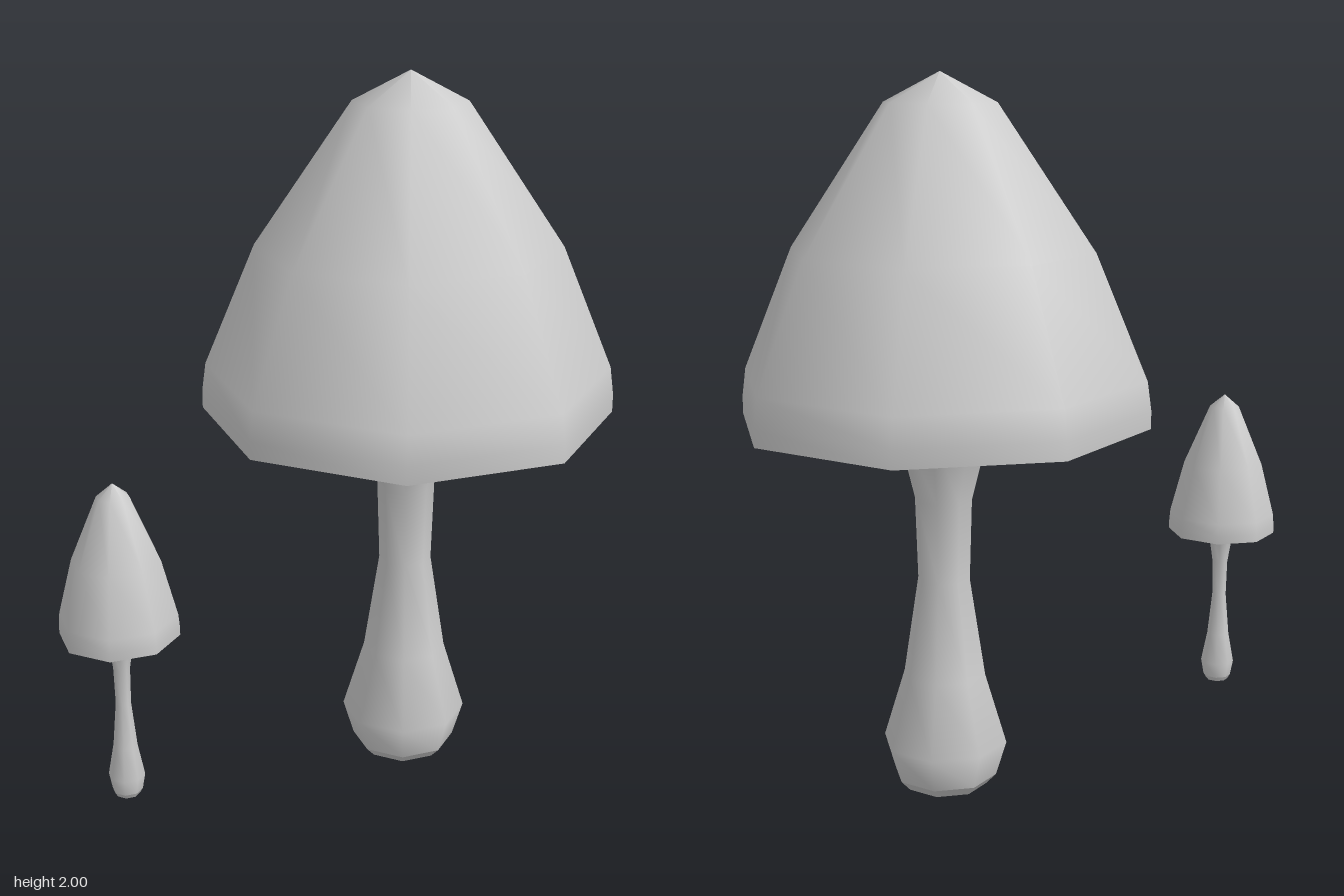
import * as THREE from 'three';

const SIDES = 8;

// Profiles are [radius, height], listed so that the surface faces outward
const STEM_LIP = [[0.12, 0], [0.148, 0.03]];
const STEM = [[0.148, 0.03], [0.178, 0.13], [0.117, 0.33], [0.074, 0.61],
  [0.081, 0.84], [0.136, 1.06], [0.21, 1.14]];
const CAP = [[0.573, 1.06], [0.573, 1.11], [0.562, 1.19], [0.42, 1.53], [0.155, 1.92], [0, 2]];
const GILLS = [[0.2, 1.14], [0.4, 1.12], [0.45, 1.065]];
const RIM = [[0.45, 1.065], [0.573, 1.06]];

function turned(name, profile, material) {
  const points = profile.map(([r, y]) => new THREE.Vector2(r, y));
  const mesh = new THREE.Mesh(new THREE.LatheGeometry(points, SIDES), material);
  mesh.name = name;
  return mesh;
}

function mushroom(name, material) {
  const group = new THREE.Group();
  group.name = name;
  group.add(
    turned('stemLip', STEM_LIP, material), // open at the bottom
    turned('stem', STEM, material),
    turned('cap', CAP, material),
    turned('capUnderside', GILLS, material),
    turned('capRim', RIM, material),
  );
  return group;
}

export function createModel() {
  const model = new THREE.Group();
  model.name = 'mushrooms';
  const material = new THREE.MeshStandardMaterial({ color: 0xcccccc, side: THREE.DoubleSide });

  const large = mushroom('largeMushroom', material);
  large.position.set(0.16, 0, -0.07);

  // Slimmer, smaller copy floating slightly higher
  const small = mushroom('smallMushroom', material);
  small.scale.set(0.275, 0.448, 0.275);
  small.position.set(-0.58, 0.155, 0.485);

  model.add(large, small);
  return model;
}
